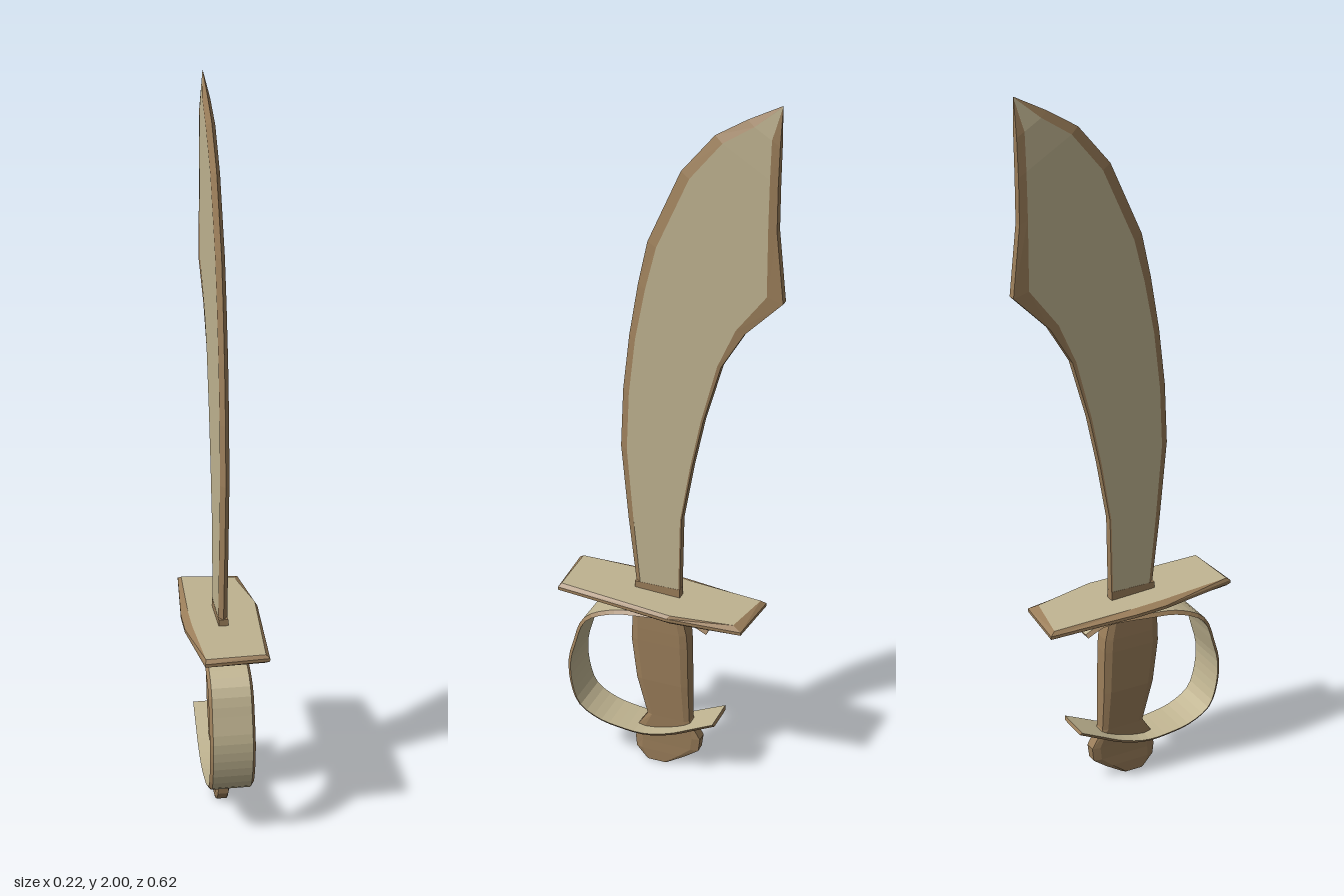
import * as THREE from 'three';

const tan = new THREE.MeshStandardMaterial({ color: 0xc0b491 });
tan.name = 'paleTan';
const brown = new THREE.MeshStandardMaterial({ color: 0x9b7e5a });
brown.name = 'warmBrown';
const TAN = 0, BROWN = 1;
const CX = -0.006; // the thin parts sit a hair off centre

// Faceted loft through rings of [x, y, z]; sides[j] picks the colour of strip j.
// Rings run counter-clockwise when seen from the last ring.
function loft(name, rings, sides, capStart = BROWN, capEnd = BROWN) {
  const faces = [[], []];
  const n = rings[0].length;
  const tri = (m, a, b, c) => faces[m].push(...a, ...b, ...c);
  for (let i = 0; i + 1 < rings.length; i++) {
    for (let j = 0; j < n; j++) {
      const k = (j + 1) % n, lo = rings[i], hi = rings[i + 1];
      tri(sides[j], lo[j], lo[k], hi[k]);
      tri(sides[j], lo[j], hi[k], hi[j]);
    }
  }
  const first = rings[0], last = rings[rings.length - 1];
  for (let j = 1; j + 1 < n; j++) {
    tri(capStart, first[0], first[j + 1], first[j]);
    tri(capEnd, last[0], last[j], last[j + 1]);
  }
  const geo = new THREE.BufferGeometry();
  geo.setAttribute('position', new THREE.Float32BufferAttribute(faces.flat(), 3));
  geo.addGroup(0, faces[TAN].length / 3, TAN);
  geo.addGroup(faces[TAN].length / 3, faces[BROWN].length / 3, BROWN);
  geo.computeVertexNormals();
  const mesh = new THREE.Mesh(geo, [tan, brown]);
  mesh.name = name;
  return mesh;
}

// Curved blade: sharp front edge, flat spine, flaring to a clipped point
function makeBlade() {
  // front z, front y, back z, back y, front border, back border
  const rows = [
    [0.10, 0.56, -0.03, 0.56, 0.016, 0.004], [0.125, 0.78, -0.035, 0.81, 0.02, 0.004],
    [0.145, 1.0, -0.065, 0.98, 0.022, 0.005], [0.137, 1.17, -0.095, 1.12, 0.022, 0.006],
    [0.118, 1.33, -0.143, 1.286, 0.022, 0.01], [0.092, 1.48, -0.206, 1.39, 0.026, 0.025],
    [0.065, 1.6, -0.307, 1.49, 0.03, 0.045], [-0.026, 1.8, -0.286, 1.68, 0.03, 0.025],
    [-0.116, 1.905, -0.286, 1.8, 0.028, 0.025], [-0.2, 1.955, -0.288, 1.9, 0.025, 0.025],
    [-0.29, 2.0, -0.29, 1.995, 0.02, 0.02],
  ];
  const rings = rows.map(([fz, fy, bz, by, front, back]) => {
    const len = Math.hypot(fz - bz, fy - by);
    const w = Math.min(0.0125, len * 0.1);
    const at = (x, t) => [CX + x, fy + (by - fy) * t, fz + (bz - fz) * t];
    const f = Math.min(front / len, 0.35), b = 1 - Math.min(back / len, 0.35);
    return [at(0, 0), at(w, f), at(w, b), at(w * 0.9, 1),
      at(-w * 0.9, 1), at(-w, b), at(-w, f)];
  });
  return loft('blade', rings, [BROWN, TAN, BROWN, BROWN, BROWN, TAN, BROWN]);
}

// Chamfered grip and pommel
function makeHandle() {
  // y, front z, back z, half width
  const rows = [
    [0.0, 0.07, 0.005, 0.018], [0.035, 0.1, -0.05, 0.019], [0.065, 0.103, -0.09, 0.019],
    [0.105, 0.1, -0.095, 0.02], [0.16, 0.065, -0.063, 0.022], [0.28, 0.095, -0.06, 0.028],
    [0.41, 0.11, -0.058, 0.03], [0.45, 0.108, -0.055, 0.03], [0.56, 0.105, -0.03, 0.028],
  ];
  const rings = rows.map(([y, f, b, w]) => {
    const c = (f - b) * 0.12, e = w * 0.75;
    return [[e, f], [w, f - c], [w, b + c], [e, b], [-e, b], [-w, b + c], [-w, f - c], [-e, f]]
      .map(([x, z]) => [CX + x, y, z]);
  });
  return loft('handle', rings, Array(8).fill(BROWN));
}

// Tilted cross guard plate with an uneven bevelled rim
function makeGuard() {
  const rim = [
    [-0.083, 0.31], [0.09, 0.3], [0.108, -0.03], [0.082, -0.238],
    [-0.088, -0.252], [-0.11, 0], [-0.11, 0.09],
  ];
  const face = [
    [-0.08, 0.298], [0.08, 0.293], [0.102, -0.04], [0.069, -0.212],
    [-0.08, -0.238], [-0.09, 0], [-0.09, 0.09],
  ];
  const ring = (outline, h) => outline.map(([x, z]) => [x, 0.553 + z * 0.05 + h, z]);
  return loft('crossGuard',
    [ring(face, -0.011), ring(rim, -0.005), ring(rim, 0.004), ring(face, 0.013)],
    Array(7).fill(BROWN), TAN, TAN);
}

// Wide ribbon bow that protects the hand
function makeKnuckleBow() {
  // z, y from lower tail, round the front, to the upper tail
  const path = new THREE.CatmullRomCurve3([
    [-0.148, 0.19], [-0.085, 0.16], [-0.02, 0.13], [0.06, 0.11], [0.14, 0.115],
    [0.2, 0.128], [0.26, 0.165], [0.284, 0.23], [0.288, 0.31], [0.273, 0.37],
    [0.24, 0.455], [0.16, 0.498], [0.06, 0.512], [-0.075, 0.518], [-0.127, 0.495],
  ].map(([z, y]) => new THREE.Vector3(CX, y, z)));
  const steps = 44;
  const rings = Array.from({ length: steps + 1 }, (_, i) => {
    const p = path.getPointAt(i / steps), t = path.getTangentAt(i / steps);
    const w = 0.053 + 0.009 * Math.sin(Math.PI * i / steps);
    return [[w - 0.008, 1], [w, -1], [-w, -1], [-w + 0.008, 1]]
      .map(([x, s]) => [p.x + x, p.y - t.z * 0.005 * s, p.z + t.y * 0.005 * s]);
  });
  return loft('knuckleBow', rings, [BROWN, TAN, BROWN, TAN]);
}

export function createModel() {
  const model = new THREE.Group();
  model.name = 'curvedSword';
  // Small collar where the blade meets the guard
  const collar = new THREE.Mesh(new THREE.BoxGeometry(0.026, 0.04, 0.134), brown);
  collar.name = 'bladeCollar';
  collar.position.set(CX, 0.57, 0.036);
  model.add(makeBlade(), collar, makeHandle(), makeGuard(), makeKnuckleBow());
  return model;
}
